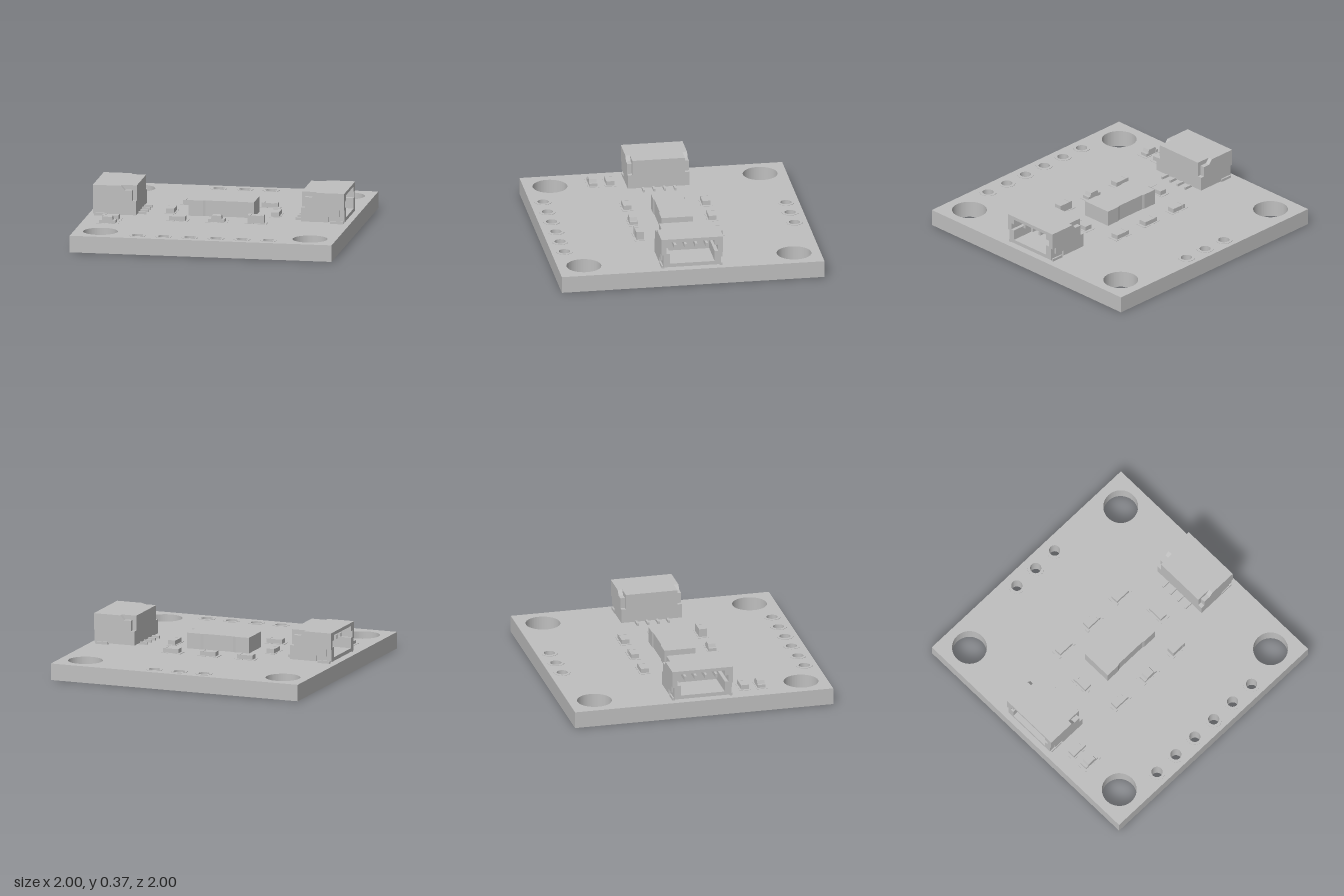
import * as THREE from 'three';

const grey = new THREE.MeshStandardMaterial({ color: 0xbfbfbf });
grey.name = 'plain grey';

const TOP = 0.13, UNDER = 0.003;
const MOUNTS = [[-0.8, -0.8], [0.8, -0.8], [-0.8, 0.8], [0.8, 0.8]];
const PINS = [-0.2, 0, 0.2].map(x => [x, -0.9])
  .concat([-0.5, -0.3, -0.1, 0.1, 0.3, 0.5].map(x => [x, 0.9]));

function add(parent, name, geometry) {
  const mesh = new THREE.Mesh(geometry, grey);
  mesh.name = name;
  parent.add(mesh);
  return mesh;
}

// Box given by its limits on each axis
function box(parent, name, x0, x1, y0, y1, z0, z1) {
  const mesh = add(parent, name, new THREE.BoxGeometry(x1 - x0, y1 - y0, z1 - z0));
  mesh.position.set((x0 + x1) / 2, (y0 + y1) / 2, (z0 + z1) / 2);
  return mesh;
}

function polygon(points) {
  return new THREE.Shape(points.map(p => new THREE.Vector2(...p)));
}

function extrude(shape, depth, curveSegments = 32) {
  return new THREE.ExtrudeGeometry(shape, { depth, bevelEnabled: false, curveSegments });
}

function circleHole(shape, x, y, r) {
  const path = new THREE.Path();
  path.absarc(x, y, r, 0, Math.PI * 2, true);
  shape.holes.push(path);
}

function buildBoard(group) {
  const shape = polygon([[-1, -1], [1, -1], [1, 1], [-1, 1]]);
  MOUNTS.forEach(([x, z]) => circleHole(shape, x, -z, 0.131));
  PINS.forEach(([x, z]) => circleHole(shape, x, -z, 0.042));
  const geometry = extrude(shape, TOP - UNDER);
  geometry.rotateX(-Math.PI / 2);
  add(group, 'board', geometry).position.y = UNDER;

  // Copper rings on both faces of the pin holes
  const ring = new THREE.Shape();
  ring.absarc(0, 0, 0.064, 0, Math.PI * 2, false);
  circleHole(ring, 0, 0, 0.042);
  const ringGeometry = extrude(ring, 0.003, 16);
  ringGeometry.rotateX(-Math.PI / 2);
  for (const [x, z] of PINS) {
    for (const y of [TOP, 0]) add(group, 'pinHoleRing', ringGeometry).position.set(x, y, z);
  }
}

// Side-entry socket on the +x edge, opening outwards
function buildConnector() {
  const g = new THREE.Group();
  g.name = 'connector';
  const back = 0.63, front = 0.96, low = 0.142, high = 0.365, cavity = 0.7;

  // Hollow shell with keying slots, and its solid back
  const shell = polygon([[-0.2, low], [0.2, low], [0.2, high], [-0.2, high]]);
  shell.holes.push(new THREE.Path([
    [-0.17, 0.17], [-0.17, 0.25], [-0.197, 0.25], [-0.197, 0.3], [-0.17, 0.3], [-0.17, 0.34],
    [0.17, 0.34], [0.17, 0.3], [0.197, 0.3], [0.197, 0.25], [0.17, 0.25], [0.17, 0.17],
  ].map(p => new THREE.Vector2(...p))));
  const shellGeometry = extrude(shell, front - cavity);
  shellGeometry.rotateY(Math.PI / 2);
  add(g, 'housing', shellGeometry).position.x = cavity;
  box(g, 'housingBack', back, cavity, low, high, -0.2, 0.2);

  // Side walls: notched at the upper back, outer skin cut away above the solder tab
  const upper = [[front, high], [0.745, high], [0.715, 0.33], [0.66, 0.33], [0.66, 0.25], [back, 0.25], [back, low]];
  const inner = extrude(polygon([[front, low], ...upper]), 0.02);
  const outer = extrude(polygon([[0.84, low], [0.84, 0.185], [0.92, 0.185], [0.92, 0.238], [front, 0.238], ...upper]), 0.015);
  for (const s of [-1, 1]) {
    add(g, 'sideWall', inner).position.z = s > 0 ? 0.2 : -0.22;
    add(g, 'sideSkin', outer).position.z = s > 0 ? 0.22 : -0.235;
    box(g, 'solderTab', 0.85, 0.95, TOP, 0.15, s * 0.222 - 0.01, s * 0.222 + 0.01);
  }

  // Contacts inside and leads behind
  for (const z of [-0.12, -0.04, 0.04, 0.12]) {
    box(g, 'contact', cavity - 0.01, 0.9, 0.265, 0.295, z - 0.009, z + 0.009);
    box(g, 'lead', 0.57, 0.65, TOP, 0.15, z - 0.008, z + 0.008);
  }
  return g;
}

// Solder pads and a two-ended chip part, long along x
function buildChipPart(name, height, domed) {
  const g = new THREE.Group();
  g.name = name;
  const h = height - TOP;
  for (const s of [-1, 1]) {
    box(g, 'solderPad', s * 0.05 - 0.033, s * 0.05 + 0.033, 0, 0.003, -0.042, 0.042);
    box(g, 'endCap', s * 0.05 - 0.0125, s * 0.05 + 0.0125, 0.002, domed ? h * 0.5 : h, -0.03, 0.03);
  }
  box(g, 'body', -0.038, 0.038, 0.002, domed ? h * 0.5 : h - 0.002, -0.029, 0.029);
  if (domed) {
    const lens = extrude(polygon([[-0.042, h * 0.5], [0.042, h * 0.5], [0.034, h], [-0.034, h]]), 0.058);
    add(g, 'lens', lens).position.z = -0.029;
  }
  return g;
}

export function createModel() {
  const model = new THREE.Group();
  model.name = 'sensorBoard';
  buildBoard(model);

  // Two sockets facing opposite edges
  for (const angle of [0, Math.PI]) {
    const connector = buildConnector();
    connector.rotation.y = angle;
    model.add(connector);
  }

  // Central sensor with slightly waisted sides
  const half = [[-0.25, -0.121], [-0.14, -0.121], [-0.12, -0.114], [0.12, -0.114], [0.14, -0.121], [0.25, -0.121]];
  const sensor = extrude(polygon([...half, ...half.map(([x, y]) => [-x, -y])]), 0.25 - TOP);
  sensor.rotateX(-Math.PI / 2);
  add(model, 'sensor', sensor).position.y = TOP;

  // Small parts: name, x, z, top height, domed, turned
  const parts = [
    ['resistor', -0.3, 0.3, 0.167], ['indicator', 0, 0.3, 0.182, true], ['capacitor', 0.3, 0.3, 0.195],
    ['resistor', -0.3, -0.3, 0.167], ['resistor', 0, -0.3, 0.167], ['resistor', 0.3, -0.3, 0.167],
    ['resistor', -0.4, 0, 0.167, false, true], ['resistor', 0.4, 0, 0.167, false, true],
    ['resistor', -0.8, 0.35, 0.167], ['indicator', -0.8, 0.48, 0.182, true],
  ];
  for (const [name, x, z, height, domed, turned] of parts) {
    const part = buildChipPart(name, height, domed);
    part.position.set(x, TOP, z);
    if (turned) part.rotation.y = Math.PI / 2;
    model.add(part);
  }
  return model;
}
